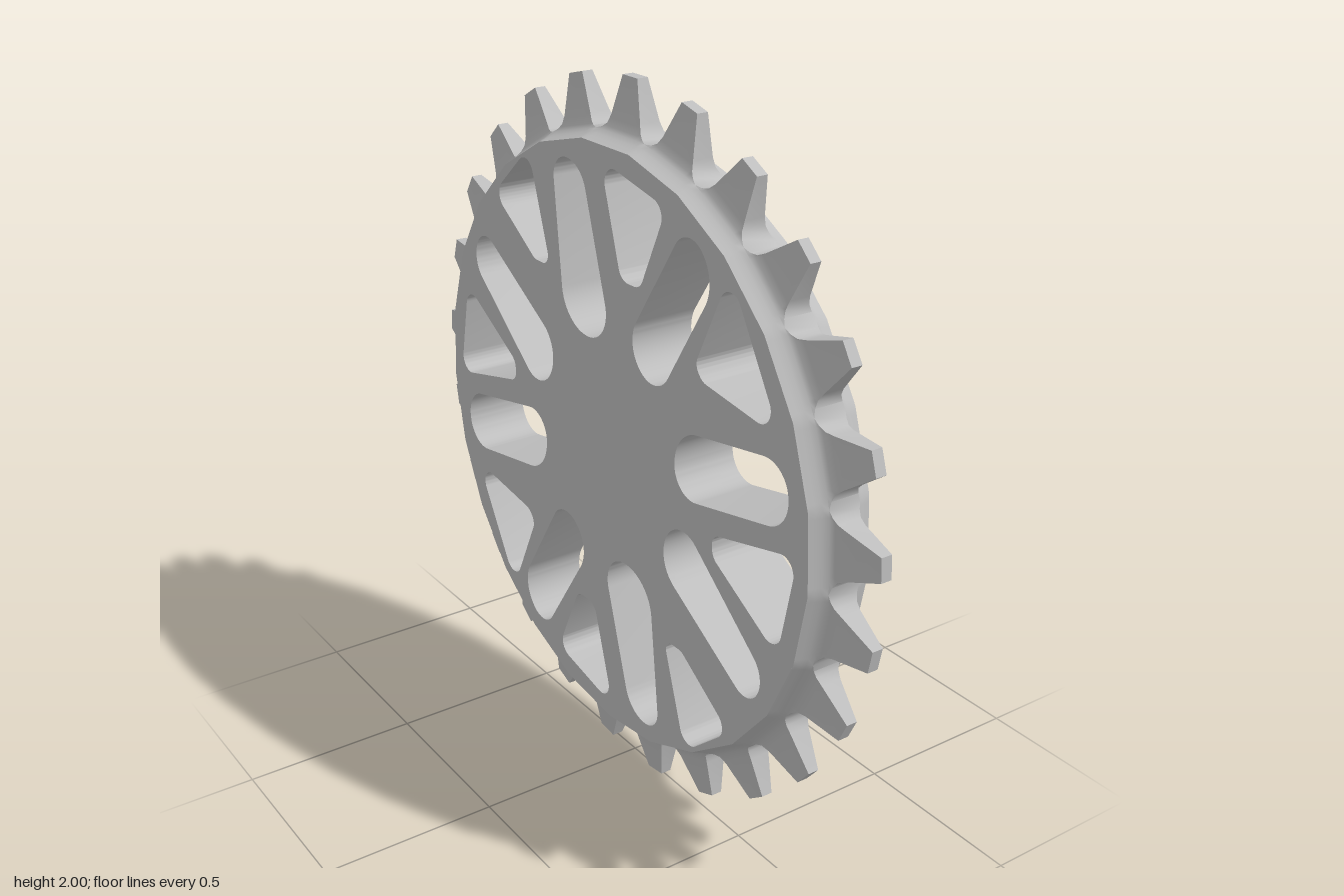
import * as THREE from 'three';
import { toCreasedNormals } from 'three/addons/utils/BufferGeometryUtils.js';

const TEETH = 25;
const STEP = (Math.PI * 2) / TEETH;
const HALF = 0.093;          // half thickness of the plate
const RIM = 0.843;           // corner radius of the plate
const APOTHEM = RIM * Math.cos(STEP / 2);

// Cutouts for one half of the wheel: [corner rounding, corners clockwise...]; the other half is turned by 180 degrees
const CUTOUTS = [
  // long slots
  [0.12, [0.11, 0.77], [0.25, 0.77], [0.20, 0.30], [-0.03, 0.31]],
  [0.12, [0.64, 0.47], [0.70, 0.355], [0.33, 0.05], [0.23, 0.22]],
  [0.12, [0.31, 0.01], [0.77, -0.085], [0.745, -0.255], [0.31, -0.18]],
  [0.12, [-0.47, 0.61], [-0.35, 0.73], [-0.09, 0.34], [-0.23, 0.23]],
  // triangular windows
  [0.042, [-0.265, 0.74], [0.02, 0.80], [-0.07, 0.505], [-0.155, 0.505]],
  [0.042, [0.56, 0.59], [0.35, 0.45], [0.27, 0.45], [0.37, 0.755]],
  [0.042, [0.80, -0.03], [0.47, 0.05], [0.475, 0.11], [0.74, 0.265]],
  [0.042, [-0.72, 0.305], [-0.52, 0.65], [-0.39, 0.38], [-0.42, 0.345]],
];

// Closed clockwise path with arcs at its corners
function roundedPath(corners, radius) {
  const p = corners.map(([x, y]) => new THREE.Vector2(x, y));
  const path = new THREE.Path();
  p.forEach((c, i) => {
    const prev = p[(i + p.length - 1) % p.length].clone().sub(c);
    const next = p[(i + 1) % p.length].clone().sub(c);
    const half = prev.angleTo(next) / 2;
    const cut = Math.min(radius / Math.tan(half), 0.49 * prev.length(), 0.49 * next.length());
    const a = prev.normalize();
    const b = next.normalize();
    const center = a.clone().add(b).setLength(cut / Math.cos(half)).add(c);
    const start = a.multiplyScalar(cut).add(c).sub(center);
    const end = b.multiplyScalar(cut).add(c).sub(center);
    path.absarc(center.x, center.y, cut * Math.tan(half), start.angle(), end.angle(), true);
  });
  path.closePath();
  return path;
}

// Faceted plate with slots and windows
function plateGeometry() {
  const rim = [];
  for (let i = 0; i < TEETH; i++) {
    const a = (i + 0.5) * STEP;
    rim.push(new THREE.Vector2(-Math.sin(a) * RIM, Math.cos(a) * RIM));
  }
  const shape = new THREE.Shape(rim);
  for (const [radius, ...corners] of CUTOUTS) {
    for (const s of [1, -1]) {
      shape.holes.push(roundedPath(corners.map(([x, y]) => [x * s, y * s]), radius));
    }
  }
  const geo = new THREE.ExtrudeGeometry(shape, { depth: HALF * 2, bevelEnabled: false, curveSegments: 8 });
  geo.translate(0, 0, -HALF);
  return toCreasedNormals(geo, 0.6);
}

// Half thickness of the toothed rim at a distance outside the plate edge
const THICKNESS = [[0, HALF], [0.006, 0.075], [0.012, 0.06], [0.02, 0.046], [0.03, 0.037], [0.05, 0.031], [0.09, 0.024], [0.17, 0.015]];
function halfThickness(d) {
  const i = THICKNESS.findIndex(([limit]) => d <= limit);
  if (i === 0) return HALF;
  const [d0, w0] = THICKNESS[i - 1];
  const [d1, w1] = THICKNESS[i];
  return THREE.MathUtils.mapLinear(d, d0, d1, w0, w1);
}

// Toothed ring made of cross-sections running around the plate
function teethGeometry() {
  const half = [[0.032, 1.0], [0.064, 0.895], [0.074, 0.873], [0.089, 0.862], [0.108, 0.856]];
  const outline = [...half.slice().reverse().map(([u, v]) => [-u, v]), ...half];
  const rows = THICKNESS.length;
  const columns = [];

  for (let k = 0; k < TEETH; k++) {
    const c = Math.cos(k * STEP);
    const s = Math.sin(k * STEP);
    for (const [u, v] of outline.slice(0, -1)) {
      const height = v - APOTHEM;
      const column = [];
      for (let j = 0; j < rows * 2; j++) {
        const front = j < rows;
        const d = Math.min(THICKNESS[front ? j : rows * 2 - 1 - j][0], height);
        const x = u * THREE.MathUtils.lerp(0.982, 1, d / height);
        const y = APOTHEM + d;
        const w = halfThickness(d);
        column.push(new THREE.Vector3(x * c + y * s, y * c - x * s, front ? w : -w));
      }
      columns.push(column);
    }
  }

  // Rows end at the tooth outline, so empty triangles there are left out
  const pos = [];
  const triangle = (a, b, c) => {
    if (new THREE.Triangle(a, b, c).getArea() < 1e-8) return;
    for (const v of [a, b, c]) pos.push(v.x, v.y, v.z);
  };
  columns.forEach((a, i) => {
    const b = columns[(i + 1) % columns.length];
    for (let j = 0; j < rows * 2 - 1; j++) {
      triangle(a[j], b[j], b[j + 1]);
      triangle(a[j], b[j + 1], a[j + 1]);
    }
  });
  const geo = new THREE.BufferGeometry();
  geo.setAttribute('position', new THREE.Float32BufferAttribute(pos, 3));
  return toCreasedNormals(geo, 0.75);
}

export function createModel() {
  const steel = new THREE.MeshStandardMaterial({ color: 0xbfbfbf });
  steel.name = 'steel';

  const wheel = new THREE.Group();
  wheel.name = 'sprocket';
  const add = (name, geometry) => {
    const mesh = new THREE.Mesh(geometry, steel);
    mesh.name = name;
    wheel.add(mesh);
  };
  add('spokedPlate', plateGeometry());
  add('toothedRim', teethGeometry());

  // The axle runs along x, and the wheel stands on its teeth
  wheel.rotation.y = Math.PI / 2;
  wheel.position.y = 1;

  const model = new THREE.Group();
  model.name = 'chainSprocket';
  model.add(wheel);
  return model;
}
